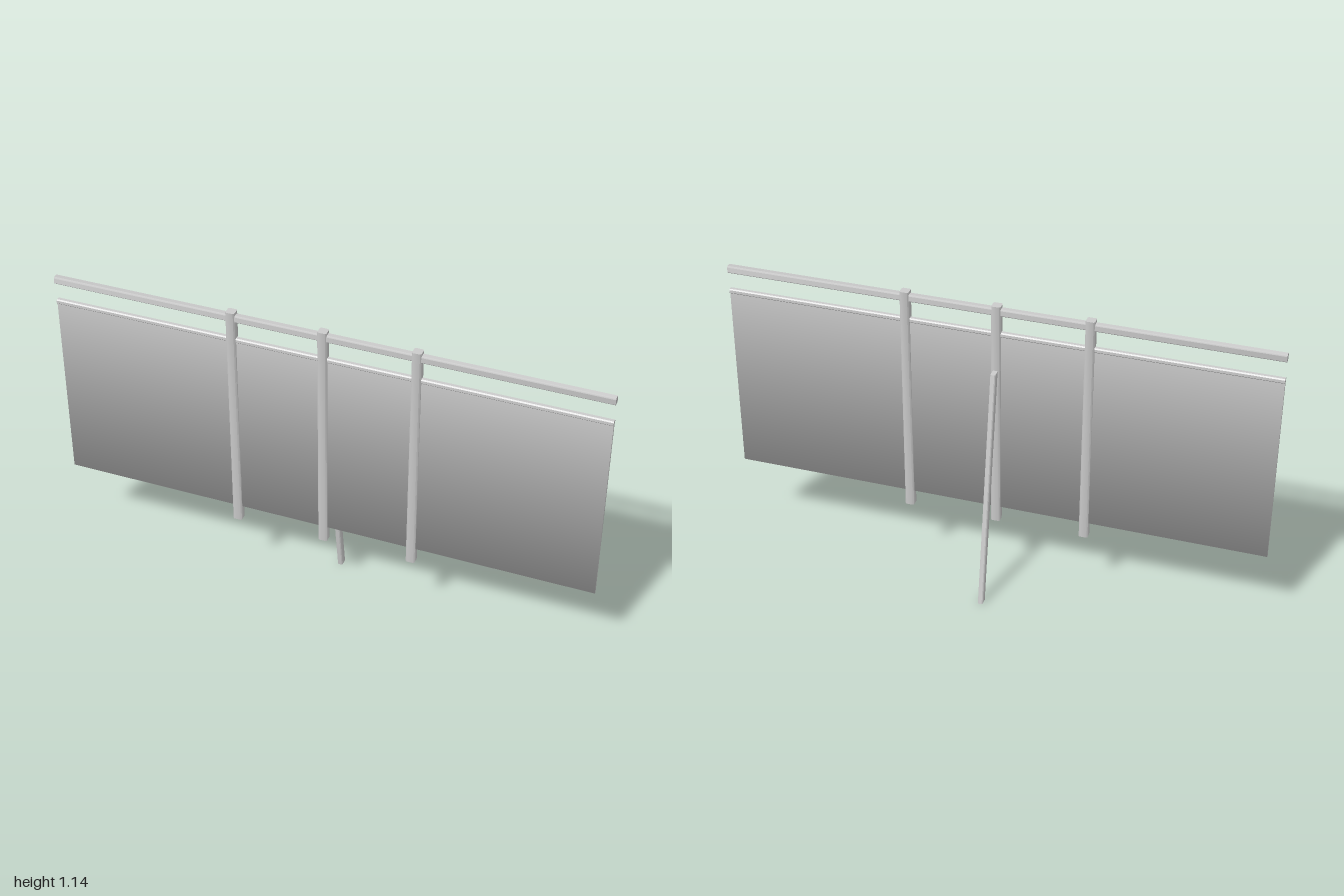
import * as THREE from 'three';
import { toCreasedNormals } from 'three/addons/utils/BufferGeometryUtils.js';

const material = new THREE.MeshStandardMaterial({ color: 0xcccccc });
const Z = 0.09; // plane of the panel, rails and posts

// Straight prism along z, centred, with softly shaded sides and flat ends
function prism(points, length, crease = Math.PI / 3) {
  const shape = new THREE.Shape(points.map(([x, y]) => new THREE.Vector2(x, y)));
  const geo = new THREE.ExtrudeGeometry(shape, { depth: length, bevelEnabled: false });
  geo.translate(0, 0, -length / 2);
  return toCreasedNormals(geo, crease);
}

// Rectangle with small cut corners
function section(w, h, c) {
  const x = w / 2, y = h / 2;
  return [[x, c - y], [x, y - c], [x - c, y], [c - x, y],
    [-x, y - c], [-x, c - y], [c - x, -y], [x - c, -y]];
}

export function createModel() {
  const model = new THREE.Group();
  const add = (name, geo, x, y, z) => {
    const mesh = new THREE.Mesh(geo, material);
    mesh.name = name;
    mesh.position.set(x, y, z);
    model.add(mesh);
  };

  // Thin sheet with a slightly pointed lower edge
  const t = 0.005;
  const sheet = [[t, 0.312], [t, 1.03], [-t, 1.03], [-t, 0.312], [0, 0.31]];
  add('panel', prism(sheet, 2, 1.4).rotateY(Math.PI / 2), 0, 0, Z);

  // Bead along the top of the sheet, and the handrail above it
  add('panelTopBead', prism(section(0.02, 0.018, 0.004), 2).rotateY(Math.PI / 2), 0, 1.033, Z);
  add('topRail', prism(section(0.026, 0.028, 0.005), 2).rotateY(Math.PI / 2), 0, 1.121, Z);

  // Three upright posts
  const post = prism(section(0.033, 0.033, 0.004), 0.89).rotateX(Math.PI / 2);
  for (const [name, x] of [['rightPost', -0.333], ['centrePost', 0], ['leftPost', 0.333]]) {
    add(name, post, x, 0.7, Z);
  }

  // Slanted rear prop, sheared so both ends stay level
  const legHeight = 0.893, lean = 0.146 / legHeight;
  let leg = prism(section(0.018, 0.032, 0.003), legHeight).rotateX(Math.PI / 2);
  leg.applyMatrix4(new THREE.Matrix4().set(1, 0, 0, 0, 0, 1, 0, 0, 0, lean, 1, 0, 0, 0, 0, 1));
  leg = toCreasedNormals(leg, Math.PI / 3);
  add('rearProp', leg, 0, legHeight / 2, -0.015);

  return model;
}
